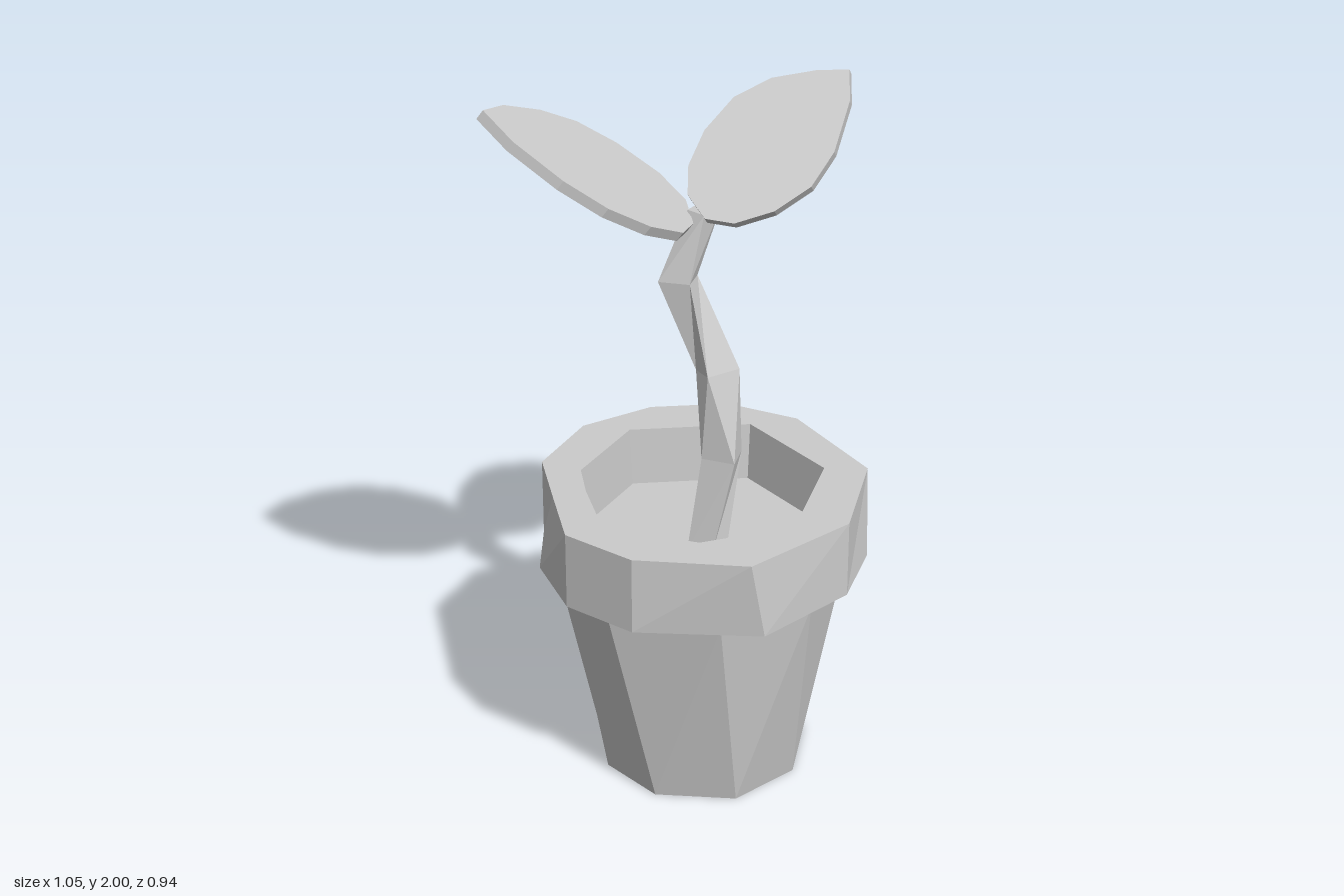
import * as THREE from 'three';

const material = new THREE.MeshStandardMaterial({ color: 0xcccccc, flatShading: true });

// Faceted skin through rings of equal length (counter-clockwise seen from above), with optional end caps
function loft(name, rings, capStart = true, capEnd = true) {
  const pos = [];
  const tri = (a, b, c) => {
    const n = b.clone().sub(a).cross(c.clone().sub(a));
    if (n.length() > 1e-8) for (const p of [a, b, c]) pos.push(p.x, p.y, p.z);
  };
  const n = rings[0].length;
  const centre = (ring) => ring.reduce((s, p) => s.add(p), new THREE.Vector3()).divideScalar(n);
  const first = rings[0], last = rings[rings.length - 1];
  const c0 = centre(first), c1 = centre(last);
  for (let i = 0; i < n; i++) {
    const j = (i + 1) % n;
    for (let k = 0; k + 1 < rings.length; k++) {
      const a = rings[k], b = rings[k + 1];
      tri(a[i], a[j], b[j]);
      tri(a[i], b[j], b[i]);
    }
    if (capStart) tri(c0, first[j], first[i]);
    if (capEnd) tri(c1, last[i], last[j]);
  }
  const geo = new THREE.BufferGeometry();
  geo.setAttribute('position', new THREE.Float32BufferAttribute(pos, 3));
  geo.computeVertexNormals();
  const mesh = new THREE.Mesh(geo, material);
  mesh.name = name;
  return mesh;
}

// Horizontal ring from [x, z] pairs
const ringAt = (y, pts) => pts.map(([x, z]) => new THREE.Vector3(x, y, z));

// Flat leaf on the plane y = a + b x + c z, thickened downwards along its normal
function leaf(name, outline, a, b, c, thickness) {
  const top = outline.map(([x, z]) => new THREE.Vector3(x, a + b * x + c * z, z)).reverse();
  const down = new THREE.Vector3(b, -1, c).setLength(thickness);
  return loft(name, [top.map((p) => p.clone().add(down)), top]);
}

export function createModel() {
  const group = new THREE.Group();

  // Tapered, irregular pot body
  const base = [[0.05, 0.31], [0.25, 0.23], [0.355, 0.035], [0.29, -0.18], [0.21, -0.26], [0.13, -0.3],
    [0.05, -0.31], [-0.05, -0.29], [-0.17, -0.2], [-0.22, -0.09], [-0.245, 0.04], [-0.16, 0.22]];
  const shoulder = [[-0.03, 0.4], [0.24, 0.37], [0.42, 0.16], [0.435, -0.17], [0.32, -0.32], [0.2, -0.39],
    [0.06, -0.42], [-0.1, -0.38], [-0.28, -0.23], [-0.36, -0.05], [-0.36, 0.08], [-0.3, 0.24]];
  group.add(loft('potBody', [ringAt(0, base), ringAt(0.635, shoulder)], true, false));

  // Overhanging rim, opening and soil
  const rimLow = [[0.07, 0.47], [0.355, 0.34], [0.485, 0.16], [0.51, -0.06], [0.43, -0.27], [0.27, -0.42],
    [0.05, -0.47], [-0.17, -0.42], [-0.34, -0.25], [-0.405, -0.06], [-0.39, 0.16], [-0.26, 0.34]];
  const rimTop = rimLow.map((p) => [...p]);
  rimTop[0] = [0.03, 0.47];
  rimTop[2] = rimTop[3] = [0.515, 0.07];
  rimTop[9] = [-0.365, -0.05];
  const opening = [[0.04, 0.31], [0.21, 0.31], [0.4, 0.03], [0.4, 0.03], [0.29, -0.28], [0.29, -0.28],
    [-0.05, -0.355], [-0.05, -0.355], [-0.25, -0.17], [-0.27, -0.05], [-0.28, 0.1], [-0.12, 0.31]];
  const soil = opening.map(([x, z]) => [0.05 + (x - 0.05) * 0.96, z * 0.96]);
  group.add(loft('rim', [ringAt(0.635, shoulder), ringAt(0.635, rimLow), ringAt(0.86, rimTop),
    ringAt(0.86, opening), ringAt(0.69, soil)], false, false));
  group.add(loft('soil', [ringAt(0.69, soil)], false, true));

  // Crooked four-sided stem: each row is height, then front, right, back and left corners
  const stemRows = [
    [0.66, [0.06, 0.06], [0.11, 0.04], [0.07, -0.02], [0.0, 0.02]],
    [0.94, [0.12, 0.07], [0.165, 0.0], [0.1, -0.035], [0.045, 0.01]],
    [1.19, [0.06, 0.015], [0.16, -0.01], [0.12, -0.06], [0.045, -0.04]],
    [1.45, [0.025, -0.035], [0.065, -0.09], [0.02, -0.13], [-0.05, -0.08]],
    [1.64, [0.07, -0.05], [0.135, -0.1], [0.1, -0.145], [0.04, -0.1]],
  ];
  group.add(loft('stem', stemRows.map(([y, ...pts]) => ringAt(y, pts))));

  // Two leaves, both leaning towards the front
  group.add(leaf('rightLeaf', [[-0.515, -0.075], [-0.44, -0.16], [-0.32, -0.24], [-0.21, -0.283], [-0.1, -0.28],
    [0.005, -0.235], [0.055, -0.16], [0.04, -0.05], [-0.015, 0.03], [-0.12, 0.085], [-0.24, 0.105],
    [-0.35, 0.08], [-0.46, 0.01]], 1.634, -0.67, -0.28, 0.03));
  group.add(leaf('leftLeaf', [[0.06, -0.155], [0.12, -0.2], [0.21, -0.222], [0.31, -0.205], [0.42, -0.155],
    [0.495, -0.11], [0.475, -0.05], [0.405, 0.025], [0.33, 0.058], [0.23, 0.053], [0.13, 0.02],
    [0.065, -0.03], [0.04, -0.1]], 1.573, 0.63, -0.85, 0.03));

  return group;
}
